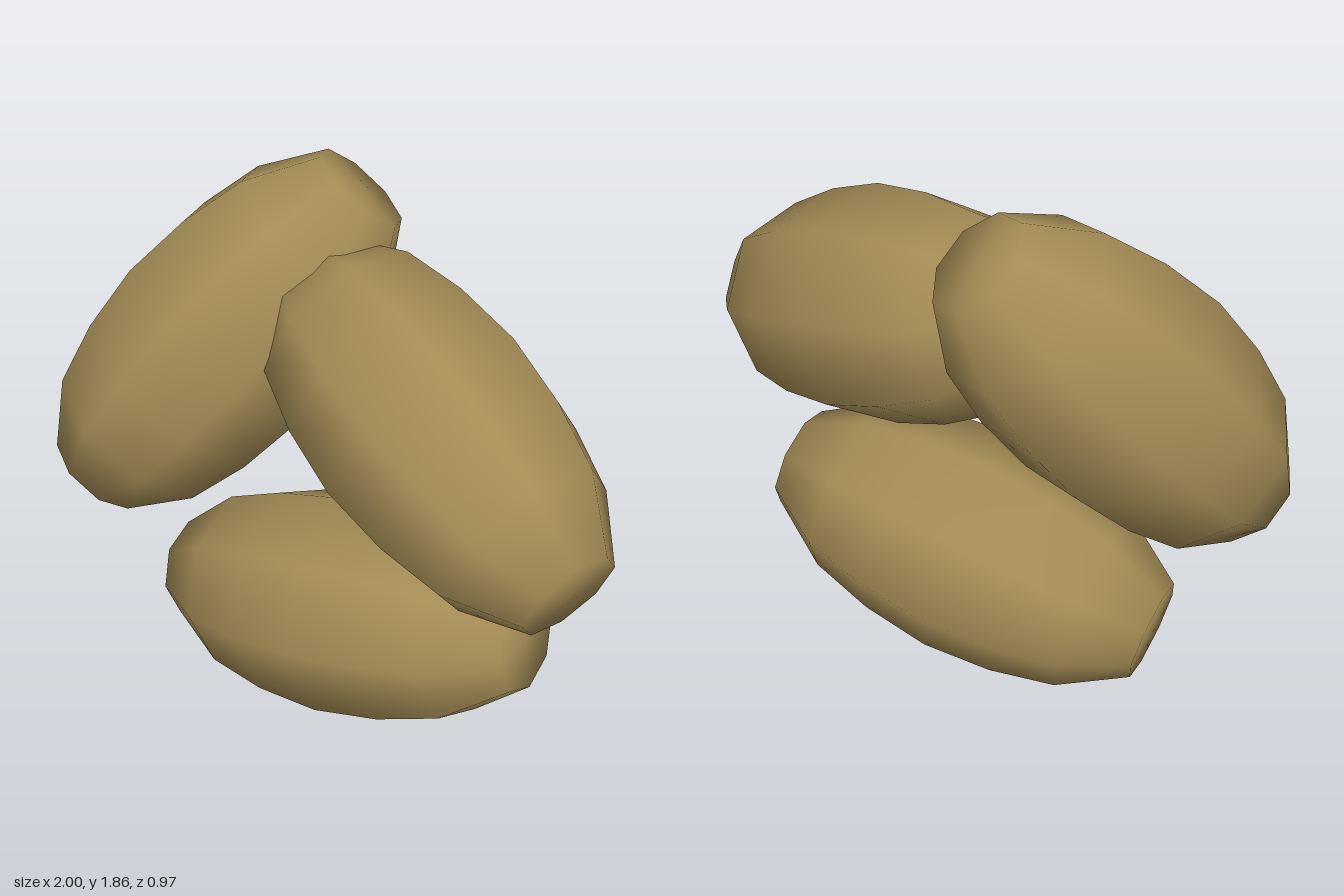
import * as THREE from 'three';

export function createModel() {
  const group = new THREE.Group();
  const tan = new THREE.MeshStandardMaterial({ color: 0xa38b55 });
  tan.name = 'tan';

  // Eight-sided grain: swollen in the middle, blunt at both ends
  const half = [[0.385, 0], [0.362, 0.237], [0.308, 0.455], [0.17, 0.67], [0, 0.675]];
  const profile = [
    ...half.slice(1).reverse().map(([r, y]) => new THREE.Vector2(r, -y)),
    ...half.map(([r, y]) => new THREE.Vector2(r, y)),
  ];
  const grain = new THREE.LatheGeometry(profile, 8);

  // Name, centre and long axis of each grain
  const grains = [
    ['lowerGrain', [0, 0.395, 0], [0.97, 0.2, -0.1]],
    ['rightGrain', [-0.525, 1.24, 0], [0.46, 0.75, -0.48]],
    ['leftGrain', [0.315, 1.235, 0], [0.91, -0.36, 0.22]],
  ];
  const up = new THREE.Vector3(0, 1, 0);
  for (const [name, centre, axis] of grains) {
    const mesh = new THREE.Mesh(grain, tan);
    mesh.name = name;
    mesh.position.set(...centre);
    mesh.quaternion.setFromUnitVectors(up, new THREE.Vector3(...axis).normalize());
    group.add(mesh);
  }
  return group;
}
